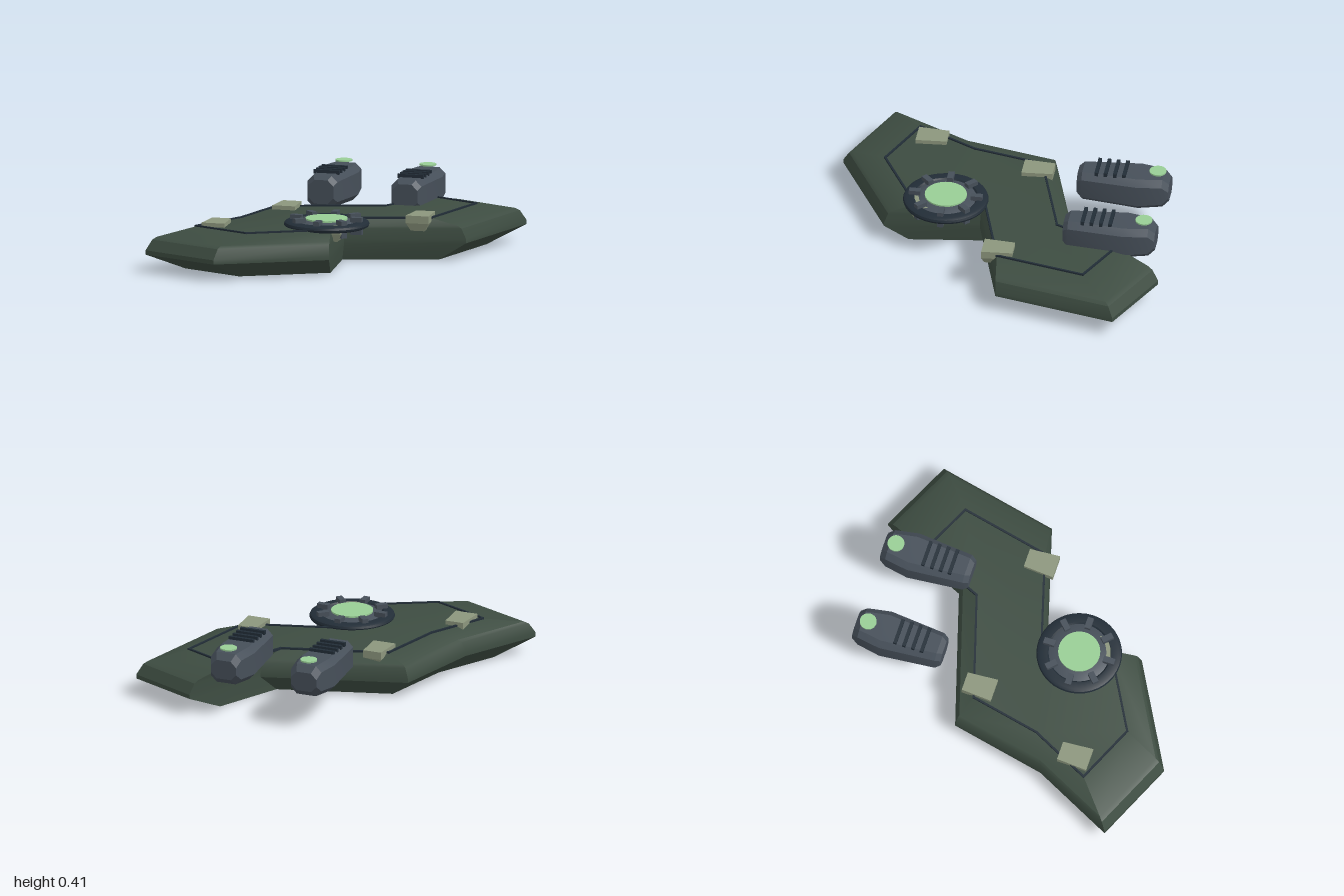
import * as THREE from 'three';
import { toCreasedNormals } from 'three/addons/utils/BufferGeometryUtils.js';

const material = (name, color) => {
  const m = new THREE.MeshStandardMaterial({ color });
  m.name = name;
  return m;
};

// Closed skin over rings of [x, y, z] points, stacked along y and clockwise seen from above
function loft(rings, crease) {
  const pos = [];
  const tri = (a, b, c) => pos.push(...a, ...b, ...c);
  const n = rings[0].length;
  for (let i = 0; i < rings.length - 1; i++) {
    for (let j = 0; j < n; j++) {
      const k = (j + 1) % n, a = rings[i], b = rings[i + 1];
      tri(a[j], b[j], a[k]);
      tri(b[j], b[k], a[k]);
    }
  }
  const cap = (ring, up) => {
    const flat = ring.map(p => new THREE.Vector2(p[0], p[2]));
    for (const [i, j, k] of THREE.ShapeUtils.triangulateShape(flat, [])) {
      const ab = flat[j].clone().sub(flat[i]), ac = flat[k].clone().sub(flat[i]);
      const facesUp = ab.cross(ac) < 0;
      if (facesUp === up) tri(ring[i], ring[j], ring[k]);
      else tri(ring[i], ring[k], ring[j]);
    }
  };
  cap(rings[0], false);
  cap(rings[rings.length - 1], true);
  const g = new THREE.BufferGeometry();
  g.setAttribute('position', new THREE.Float32BufferAttribute(pos, 3));
  return toCreasedNormals(g, crease);
}

export function createModel() {
  const model = new THREE.Group();
  const hullGreen = material('hull green', 0x3d4c41);
  const darkNavy = material('dark navy', 0x222d37);
  const slate = material('slate grey', 0x464f59);
  const sage = material('sage tan', 0x8c967d);
  const glow = material('light green', 0x98cd95);

  const add = (parent, name, geometry, mat, x = 0, y = 0, z = 0) => {
    const mesh = new THREE.Mesh(geometry, mat);
    mesh.name = name;
    mesh.position.set(x, y, z);
    parent.add(mesh);
    return mesh;
  };

  // Hull: zigzag plan, scaled ring by ring
  const outline = [
    [0.487, -1], [0.91, -0.8], [0.757, -0.09], [0.08, 0.11], [0.153, 0.66],
    [-0.445, 0.995], [-0.915, 0.79], [-0.68, 0.32], [-0.56, -0.24], [0.26, -0.49],
  ];
  const levels = [[0, 0.79], [0.1, 1], [0.125, 1], [0.185, 0.965], [0.2, 0.94], [0.243, 0.735]];
  const hullRings = levels.map(([y, s]) => outline.map(([x, z]) => [x * s, y, z * s]));
  add(model, 'hull', loft(hullRings, 0.45), hullGreen);

  // Dark seam around the deck
  const seam = new THREE.Group();
  seam.name = 'deckSeam';
  model.add(seam);
  outline.forEach(([x0, z0], i) => {
    const [x1, z1] = outline[(i + 1) % outline.length];
    const s = 0.735, length = Math.hypot(x1 - x0, z1 - z0) * s;
    const strip = add(seam, 'seamStrip', new THREE.BoxGeometry(length + 0.012, 0.014, 0.012), darkNavy,
      (x0 + x1) * s / 2, 0.244, (z0 + z1) * s / 2);
    strip.rotation.y = -Math.atan2(z1 - z0, x1 - x0);
  });

  // Edge brackets: wider to the front, narrowing underneath
  const bracketGeo = new THREE.BoxGeometry(0.124, 0.09, 0.18, 1, 2, 1);
  const p = bracketGeo.attributes.position;
  for (let i = 0; i < p.count; i++) {
    const taper = p.getZ(i) > 0 ? 1.1 : 0.9;
    const under = p.getY(i) < -0.01 ? 0.6 : 1;
    p.setX(i, p.getX(i) * taper * under);
    p.setZ(i, p.getZ(i) * (under < 1 ? 0.85 : 1));
  }
  const bracketFlat = bracketGeo.toNonIndexed();
  bracketFlat.computeVertexNormals();
  for (const [x, z] of [[-0.34, -0.165], [-0.57, 0.493], [0.495, -0.065], [0.11, 0.41]]) {
    add(model, 'edgeBracket', bracketFlat, sage, x, 0.222, z);
  }

  // Round turntable with a glowing lens
  const turret = new THREE.Group();
  turret.name = 'turntable';
  turret.position.set(0.037, 0, 0.317);
  model.add(turret);
  const rim = [[0, 0.23], [0.225, 0.23], [0.243, 0.238], [0.248, 0.25], [0.243, 0.262],
    [0.228, 0.27], [0.185, 0.27], [0.17, 0.255]];
  const lathe = pts => toCreasedNormals(
    new THREE.LatheGeometry(pts.map(([r, y]) => new THREE.Vector2(r, y)), 40), 0.6);
  add(turret, 'turntableRim', lathe(rim), darkNavy);
  add(turret, 'turntableCollar', lathe([[0.19, 0.255], [0.178, 0.262], [0.12, 0.276], [0, 0.276]]), slate);
  add(turret, 'turntableLens', new THREE.CylinderGeometry(0.122, 0.122, 0.012, 40), glow, 0, 0.279, 0);
  for (let i = 0; i < 8; i++) {
    const a = i * Math.PI / 4;
    const clamp = add(turret, 'rimClamp', new THREE.BoxGeometry(0.068, 0.1, 0.036), slate,
      Math.cos(a) * 0.181, 0.245, -Math.sin(a) * 0.181);
    clamp.rotation.y = a;
  }

  // Pods: chamfered sections along z as [z, half width, bottom, top]
  const sections = [
    [-0.957, 0.08, 0.235, 0.348], [-0.92, 0.095, 0.2, 0.385], [-0.78, 0.118, 0.19, 0.389],
    [-0.45, 0.09, 0.2, 0.387], [-0.42, 0.075, 0.225, 0.365],
  ];
  const podRings = sections.map(([z, w, bottom, top]) => {
    const mid = (top + bottom) / 2, h = (top - bottom) / 2, c = 0.035;
    return [[w, -h + c], [w, h - c], [w - c, h], [c - w, h], [-w, h - c], [-w, c - h], [c - w, -h], [w - c, -h]]
      .map(([x, v]) => [x, z, v - mid]);
  });
  const podGeo = loft(podRings, 0.5).rotateX(Math.PI / 2);
  for (const x of [-0.217, 0.29]) {
    const pod = new THREE.Group();
    pod.name = 'pod';
    pod.position.x = x;
    model.add(pod);
    add(pod, 'podBody', podGeo, slate);
    for (let i = 0; i < 4; i++) {
      add(pod, 'podVent', new THREE.BoxGeometry(0.155, 0.024, 0.02), darkNavy, 0, 0.394, -0.697 + i * 0.054);
    }
    add(pod, 'podLight', new THREE.CylinderGeometry(0.049, 0.049, 0.009, 24), glow, 0, 0.404, -0.885);
  }

  return model;
}
